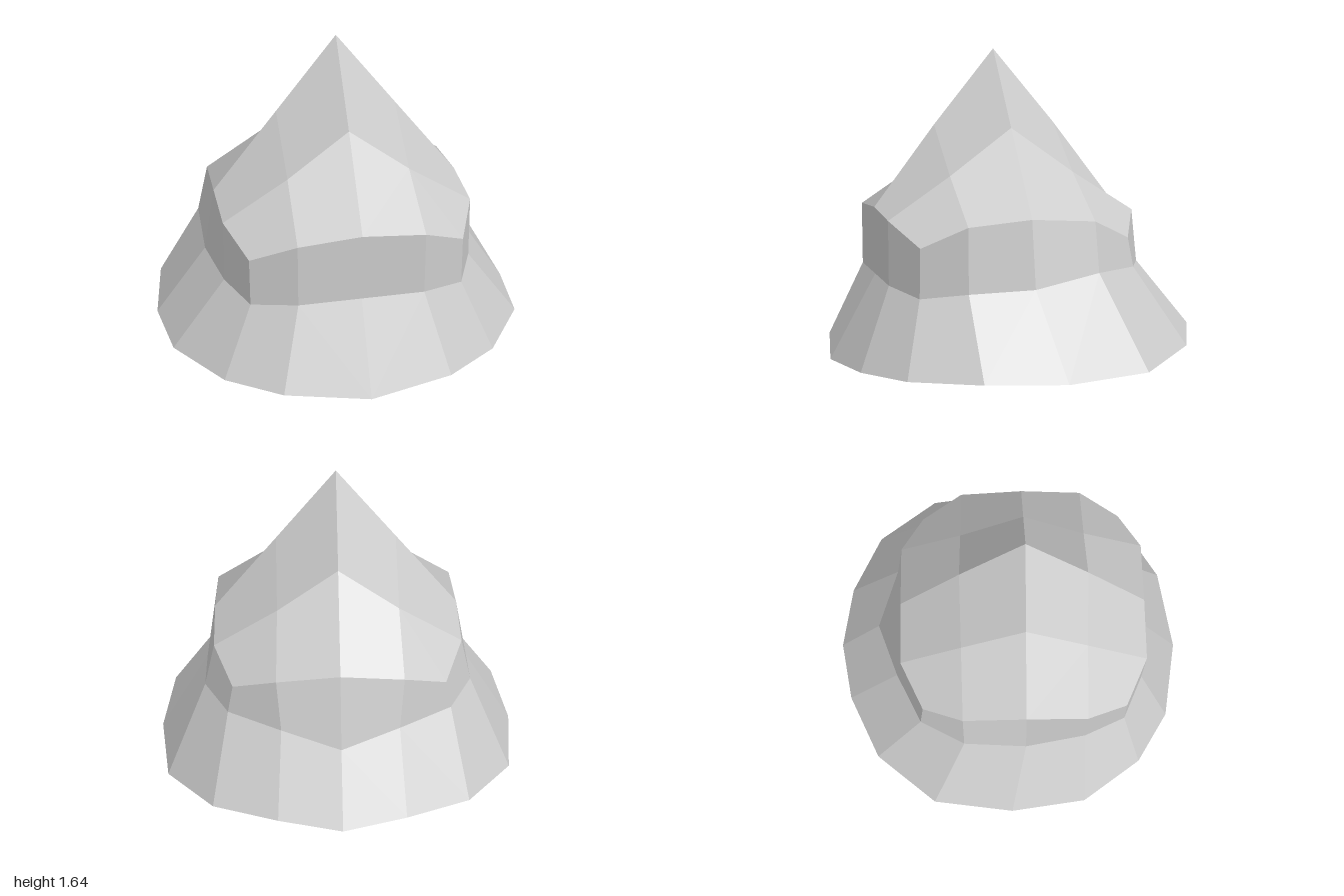
import * as THREE from 'three';

const v = (p) => new THREE.Vector3(...p);

// Complete a half ring (front centre, round the +x side, to back centre) by mirroring it
const ring = (half) => [
  ...half,
  ...half.slice(1, -1).reverse().map(([x, y, z]) => [-x, y, z]),
].map(v);

// Flat quads, split on the shorter diagonal, one normal per quad
function quadMesh(name, quads) {
  const pos = [], nor = [];
  for (const [a, b, c, d] of quads) {
    const n = c.clone().sub(a).cross(d.clone().sub(b)).normalize();
    const tris = a.distanceTo(c) < b.distanceTo(d) ? [a, b, c, a, c, d] : [a, b, d, b, c, d];
    for (const p of tris) {
      pos.push(p.x, p.y, p.z);
      nor.push(n.x, n.y, n.z);
    }
  }
  const geo = new THREE.BufferGeometry();
  geo.setAttribute('position', new THREE.Float32BufferAttribute(pos, 3));
  geo.setAttribute('normal', new THREE.Float32BufferAttribute(nor, 3));
  const mat = new THREE.MeshStandardMaterial({ color: 0xcccccc, side: THREE.DoubleSide });
  const mesh = new THREE.Mesh(geo, mat);
  mesh.name = name;
  return mesh;
}

// Wall of quads between an upper and a lower ring
const wall = (up, low) => up.map((p, i) => {
  const j = (i + 1) % up.length;
  return [p, low[i], low[j], up[j]];
});

export function createModel() {
  const apex = v([0, 1.64, 0.08]);
  const inner = ring([
    [0, 1.24, 0.41], [0.32, 1.0, 0.41], [0.32, 1.24, 0.08], [0.32, 1.0, -0.26], [0, 1.24, -0.26],
  ]);
  const rim = ring([
    [0, 0.81, 0.74], [0.33, 0.785, 0.74], [0.56, 0.675, 0.63], [0.66, 0.785, 0.41], [0.665, 0.81, 0.08],
    [0.66, 0.785, -0.26], [0.56, 0.675, -0.48], [0.33, 0.785, -0.595], [0, 0.81, -0.595],
  ]);
  const waist = ring([
    [0, 0.45, 0.74], [0.33, 0.45, 0.74], [0.56, 0.42, 0.635], [0.665, 0.45, 0.41], [0.725, 0.465, 0.08],
    [0.72, 0.53, -0.26], [0.59, 0.525, -0.5], [0.31, 0.5, -0.635], [0, 0.45, -0.745],
  ]);
  const hem = ring([
    [0, 0, 0.99], [0.44, 0.035, 0.915], [0.72, 0.048, 0.74], [0.95, 0.065, 0.415], [1, 0.045, 0],
    [0.94, 0.055, -0.445], [0.68, 0.105, -0.77], [0.335, 0.14, -0.93], [0, 0.11, -0.99],
  ]);

  // Pointed crown: four quads at the tip, then three per quarter out to the rim
  const crown = [];
  for (let k = 0; k < 4; k++) {
    const [a, b, c] = [0, 1, 2].map((i) => inner[(2 * k + i) % 8]);
    const r = [0, 1, 2, 3, 4].map((i) => rim[(4 * k + i) % 16]);
    crown.push([apex, a, b, c], [a, r[0], r[1], b], [b, r[1], r[2], r[3]], [b, r[3], r[4], c]);
  }

  const group = new THREE.Group();
  group.name = 'pointedHat';
  group.add(
    quadMesh('crown', crown),
    quadMesh('band', wall(rim, waist)),
    quadMesh('brim', wall(waist, hem)),
  );
  return group;
}
